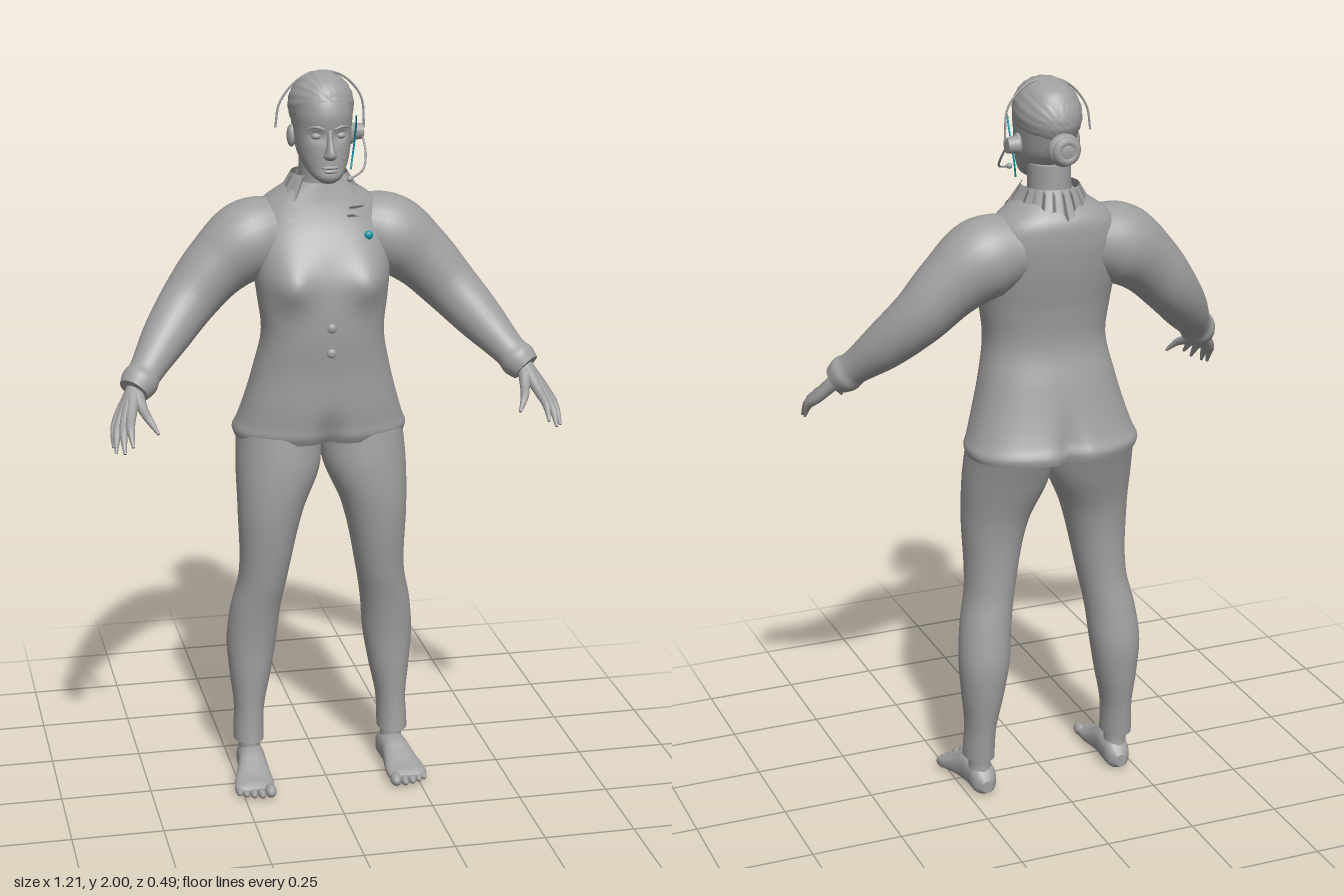
import * as THREE from 'three';
import { ParametricGeometry } from 'three/addons/geometries/ParametricGeometry.js';

const V = (x, y, z) => new THREE.Vector3(x, y, z);
const bell = (d, s) => Math.exp(-((d / s) ** 2));

// Skin a list of equal rings, with sharp flat caps
function skin(rings) {
  const n = rings[0].length, pos = [], idx = [];
  const put = (p) => pos.push(p.x, p.y, p.z) / 3 - 1;
  rings.forEach((r) => r.forEach(put));
  for (let i = 0; i < rings.length - 1; i++) {
    for (let j = 0; j < n; j++) {
      const k = (j + 1) % n, a = i * n, b = a + n;
      idx.push(a + j, a + k, b + k, a + j, b + k, b + j);
    }
  }
  [rings[0], rings[rings.length - 1]].forEach((ring, end) => {
    const c = V(0, 0, 0);
    ring.forEach((p) => c.addScaledVector(p, 1 / n));
    const ci = put(c), ids = ring.map(put);
    ids.forEach((a, j) => {
      const b = ids[(j + 1) % n];
      idx.push(ci, ...(end ? [a, b] : [b, a]));
    });
  });
  const g = new THREE.BufferGeometry();
  g.setAttribute('position', new THREE.Float32BufferAttribute(pos, 3));
  g.setIndex(idx);
  g.computeVertexNormals();
  return g;
}

// Smooth interpolation of rows; the first entry of each is the parameter
function spline(rows) {
  const s = new THREE.CubicInterpolant(rows.map((r) => r[0]), rows.flatMap((r) => r.slice(1)), rows[0].length - 1);
  return (t) => Array.from(s.evaluate(t));
}

// Upright loft from rows [y, centre x, half width, front z, back z]
function loft(rows, { power = 2, steps = 40, sides = 40, bump = () => 0 } = {}) {
  const at = spline(rows), y0 = rows[0][0], y1 = rows[rows.length - 1][0], rings = [];
  const bend = (v) => Math.sign(v) * Math.abs(v) ** (2 / power);
  for (let i = 0; i <= steps; i++) {
    const y = y0 + (y1 - y0) * i / steps, [cx, rx, zf, zb] = at(y);
    rings.push(Array.from({ length: sides }, (_, j) => {
      const a = j / sides * Math.PI * 2, x = rx * bend(Math.sin(a)), c = bend(Math.cos(a));
      return V(cx + x, y, (zf + zb) / 2 + (zf - zb) / 2 * c + bump(x, y, c));
    }));
  }
  return skin(rings);
}

// Round limb through points [x, y, z, radius]
function limb(pts, steps = 16, sides = 12) {
  const curve = new THREE.CatmullRomCurve3(pts.map((p) => V(p[0], p[1], p[2])));
  const radius = spline(pts.map((p, i) => [i / (pts.length - 1), p[3]])), rings = [];
  for (let i = 0; i <= steps; i++) {
    const t = i / steps, c = curve.getPoint(t), T = curve.getTangent(t), r = radius(t)[0];
    const N = V(0, 0, 1).cross(T).normalize(), B = T.clone().cross(N);
    rings.push(Array.from({ length: sides }, (_, j) => {
      const a = j / sides * Math.PI * 2;
      return c.clone().addScaledVector(N, r * Math.cos(a)).addScaledVector(B, r * Math.sin(a));
    }));
  }
  return skin(rings);
}

function ball(x, y, z, rx, ry = rx, rz = rx, n = 20) {
  return new THREE.SphereGeometry(1, n, Math.ceil(n * 0.7)).scale(rx, ry, rz).translate(x, y, z);
}

function mirrored(geo) {
  const g = geo.clone().scale(-1, 1, 1), ix = g.index.array;
  for (let i = 0; i < ix.length; i += 3) [ix[i], ix[i + 1]] = [ix[i + 1], ix[i]];
  g.computeVertexNormals();
  return g;
}

// Jacket profile, and the front surface height used to lay details on it
const TORSO = [
  [1.0, 0, 0.234, 0.05, -0.246], [1.02, 0, 0.24, 0.06, -0.25], [1.045, 0, 0.23, 0.062, -0.238],
  [1.1, 0, 0.212, 0.068, -0.22], [1.2, 0, 0.185, 0.072, -0.195], [1.3, 0, 0.166, 0.082, -0.172],
  [1.4, 0, 0.176, 0.082, -0.18], [1.46, 0, 0.183, 0.075, -0.192], [1.52, 0, 0.185, 0.055, -0.203],
  [1.6, 0, 0.178, 0.015, -0.21], [1.65, 0, 0.15, -0.003, -0.203], [1.68, 0, 0.11, -0.01, -0.18],
  [1.705, 0, 0.07, -0.015, -0.155],
];
const torsoBump = (x, y, c) => {
  const f = Math.max(c, 0), b = Math.max(-c, 0);
  const bust = 0.038 * bell(Math.abs(x) - 0.11, 0.055) * bell(y - 1.45, 0.06);
  const dent = -0.03 * bell(x, 0.03) * bell(y - 1.0, 0.07);
  return f * (bust + dent) + b * 0.028 * bell(x, 0.025) * bell(y - 1.0, 0.09);
};
const torsoAt = spline(TORSO);
function torsoFront(x, y) {
  const [, rx, zf, zb] = torsoAt(y), u = Math.min(Math.abs(x) / rx, 0.97);
  const c = (1 - u ** 2.3) ** (1 / 2.3);
  return (zf + zb) / 2 + (zf - zb) / 2 * c + torsoBump(x, y, c);
}

export function createModel() {
  const root = new THREE.Group();
  const grey = new THREE.MeshStandardMaterial({ color: 0xa0a0a0, side: THREE.DoubleSide });
  grey.name = 'grey';
  const teal = new THREE.MeshStandardMaterial({ color: 0x0898a4 });
  teal.name = 'teal';
  const add = (name, geo, mat = grey) => {
    const m = new THREE.Mesh(geo, mat);
    m.name = name;
    root.add(m);
    return m;
  };
  const both = (name, geo) => {
    add('left ' + name, geo);
    add('right ' + name, mirrored(geo));
  };

  // Jacket body, sleeves, lapels and collar
  add('jacket', loft(TORSO, { power: 2.3, steps: 80, sides: 80, bump: torsoBump }));
  both('sleeve', limb([
    [0.1, 1.57, -0.105, 0.09], [0.19, 1.545, -0.095, 0.108], [0.28, 1.48, -0.085, 0.09],
    [0.355, 1.4, -0.065, 0.077], [0.43, 1.315, -0.01, 0.064], [0.495, 1.24, 0.057, 0.046],
    [0.515, 1.218, 0.077, 0.05], [0.532, 1.2, 0.093, 0.042],
  ], 48, 28));
  both('lapel', new ParametricGeometry((u, v, p) => {
    const y = 1.44 + v * 0.25, inner = 0.075 * v;
    const wide = v < 0.72 ? 0.075 * v : v < 0.8 ? 0.022 : 0.045 - 0.1 * (v - 0.8);
    const x = inner + wide * u;
    p.set(x, y, torsoFront(x, y) + 0.007);
  }, 6, 50));
  add('collar', new ParametricGeometry((u, v, p) => {
    const a = 0.75 + u * (Math.PI * 2 - 1.5), back = bell(u - 0.5, 0.28);
    const jag = 0.012 * (Math.floor(u * 16) % 2), flare = 0.035 * (1 - v);
    p.set((0.076 + flare) * Math.sin(a), 1.725 - (1 - v) * (0.05 + 0.025 * back + jag),
      -0.088 + (0.08 + flare) * Math.cos(a));
  }, 64, 6));
  for (const y of [1.335, 1.265]) add('button', ball(0, y, torsoFront(0, y), 0.013, 0.013, 0.008));
  add('badge', ball(0.113, 1.567, torsoFront(0.113, 1.567) + 0.002, 0.012, 0.012, 0.008), teal);

  // Hands: each finger runs from the wrist over its knuckle to the tip
  const fingers = [
    ['little finger', [0.582, 1.137, 0.132], [0.6, 1.075, 0.182]],
    ['ring finger', [0.577, 1.137, 0.15], [0.597, 1.07, 0.212]],
    ['middle finger', [0.566, 1.141, 0.163], [0.578, 1.075, 0.242]],
    ['index finger', [0.551, 1.148, 0.168], [0.556, 1.092, 0.244]],
    ['thumb', [0.516, 1.162, 0.145], [0.485, 1.113, 0.212]],
  ];
  for (const [name, k, tip] of fingers) {
    const mid = k.map((v, i) => (v + tip[i]) / 2 + [0.004, 0.006, 0.004][i]);
    both(name, limb([[0.53, 1.205, 0.088, 0.021], [...k, 0.0135], [...mid, 0.0105], [...tip, 0.004]]));
  }

  // Trousers, ankles and bare feet
  both('trouser leg', loft([
    [0.105, 0.208, 0.042, -0.02, -0.13], [0.125, 0.208, 0.042, -0.022, -0.132],
    [0.2, 0.205, 0.042, -0.025, -0.14], [0.3, 0.2, 0.057, -0.02, -0.157],
    [0.4, 0.195, 0.069, -0.015, -0.165], [0.5, 0.185, 0.069, 0, -0.153], [0.6, 0.166, 0.067, 0.022, -0.14],
    [0.8, 0.145, 0.09, 0.052, -0.15], [0.92, 0.121, 0.115, 0.055, -0.188], [1.02, 0.115, 0.115, 0.045, -0.225],
  ], { steps: 60, power: 2.1 }));
  both('ankle', loft([[0.05, 0.205, 0.034, -0.03, -0.12], [0.08, 0.206, 0.03, -0.04, -0.115], [0.13, 0.207, 0.032, -0.035, -0.12]]));
  const foot = loft([
    [-0.132, 0.203, 0.015, -0.01, -0.045], [-0.115, 0.203, 0.031, 0, -0.07], [-0.07, 0.204, 0.038, 0, -0.085],
    [-0.02, 0.208, 0.04, 0, -0.085], [0.02, 0.212, 0.047, 0, -0.065], [0.06, 0.217, 0.055, 0, -0.045],
    [0.09, 0.218, 0.052, -0.002, -0.035], [0.105, 0.212, 0.038, -0.008, -0.025],
  ], { power: 2.5 });
  both('foot', foot.rotateX(Math.PI / 2));
  [[0.179, 0.108, 0.016], [0.204, 0.108, 0.0115], [0.226, 0.102, 0.011], [0.246, 0.092, 0.0105], [0.263, 0.08, 0.01]]
    .forEach(([x, z, r]) => both('toe', ball(x, r + 0.003, z, r, r * 1.1, 0.027, 14)));

  // Neck and head
  add('neck', loft([[1.64, 0, 0.066, -0.01, -0.16], [1.7, 0, 0.057, -0.018, -0.148], [1.78, 0, 0.056, -0.01, -0.145]]));
  add('head', loft([
    [1.718, 0, 0.018, 0.05, 0.01], [1.73, 0, 0.036, 0.062, -0.025], [1.76, 0, 0.058, 0.06, -0.09],
    [1.8, 0, 0.071, 0.058, -0.14], [1.85, 0, 0.077, 0.054, -0.162], [1.9, 0, 0.08, 0.056, -0.172],
    [1.95, 0, 0.072, 0.036, -0.16], [1.98, 0, 0.048, 0.005, -0.13], [1.994, 0, 0.015, -0.04, -0.085],
  ], {
    steps: 48, sides: 48, power: 2.1,
    bump: (x, y, c) => -Math.max(c, 0) * 0.012 * bell(Math.abs(x) - 0.032, 0.018) * bell(y - 1.843, 0.014),
  }));
  add('nose', loft([
    [1.782, 0, 0.012, 0.068, 0.03], [1.79, 0, 0.018, 0.082, 0.03], [1.802, 0, 0.014, 0.084, 0.03],
    [1.83, 0, 0.009, 0.069, 0.03], [1.86, 0, 0.008, 0.057, 0.03],
  ], { steps: 20, sides: 20 }));
  both('eye', ball(0.032, 1.842, 0.034, 0.014, 0.009, 0.012));
  both('eyebrow', limb([[0.014, 1.861, 0.053, 0.003], [0.034, 1.868, 0.049, 0.004], [0.055, 1.862, 0.034, 0.002]]));
  add('upper lip', ball(0, 1.762, 0.058, 0.023, 0.005, 0.009));
  add('lower lip', ball(0, 1.752, 0.058, 0.019, 0.006, 0.009));
  both('ear', ball(0.08, 1.828, -0.062, 0.012, 0.03, 0.02));

  // Combed hair with fine ridges, and a bun at the nape
  const hair = new THREE.SphereGeometry(1, 80, 40), hp = hair.attributes.position;
  for (let i = 0; i < hp.count; i++) {
    const s = 1 + 0.01 * Math.cos(Math.atan2(hp.getX(i), hp.getY(i)) * 20);
    hp.setXYZ(i, hp.getX(i) * s * 0.086, hp.getY(i) * s * 0.088, hp.getZ(i) * s * 0.114);
  }
  hair.rotateX(-0.22).translate(0, 1.908, -0.066);
  hair.computeVertexNormals();
  add('hair', hair);
  add('hair bun', ball(0, 1.832, -0.18, 0.045, 0.043, 0.028));
  add('bun knot', new THREE.TorusGeometry(0.025, 0.013, 10, 24).translate(0, 1.832, -0.195));

  // Headset: band, ear pad, microphone boom and teal cable
  add('headset band', limb([
    [-0.122, 1.85, -0.065, 0.003], [-0.11, 1.915, -0.065, 0.003], [-0.06, 1.975, -0.065, 0.003], [0, 1.995, -0.065, 0.003],
    [0.06, 1.98, -0.065, 0.003], [0.108, 1.925, -0.065, 0.003], [0.118, 1.84, -0.068, 0.003],
  ], 40, 8));
  add('ear pad', new THREE.CylinderGeometry(0.02, 0.024, 0.03, 24).rotateZ(-Math.PI / 2).translate(0.1, 1.83, -0.072));
  add('microphone boom', limb([
    [0.112, 1.825, -0.065, 0.003], [0.112, 1.78, -0.02, 0.003], [0.092, 1.748, 0.035, 0.003], [0.052, 1.735, 0.075, 0.003],
  ], 24, 8));
  add('microphone', ball(0.048, 1.735, 0.077, 0.008));
  add('headset cable', limb([
    [0.079, 1.888, 0.012, 0.0025], [0.084, 1.86, -0.012, 0.0025], [0.086, 1.815, -0.038, 0.0025],
    [0.082, 1.77, -0.045, 0.0025], [0.075, 1.735, -0.035, 0.0025],
  ], 24, 8), teal);
  return root;
}
